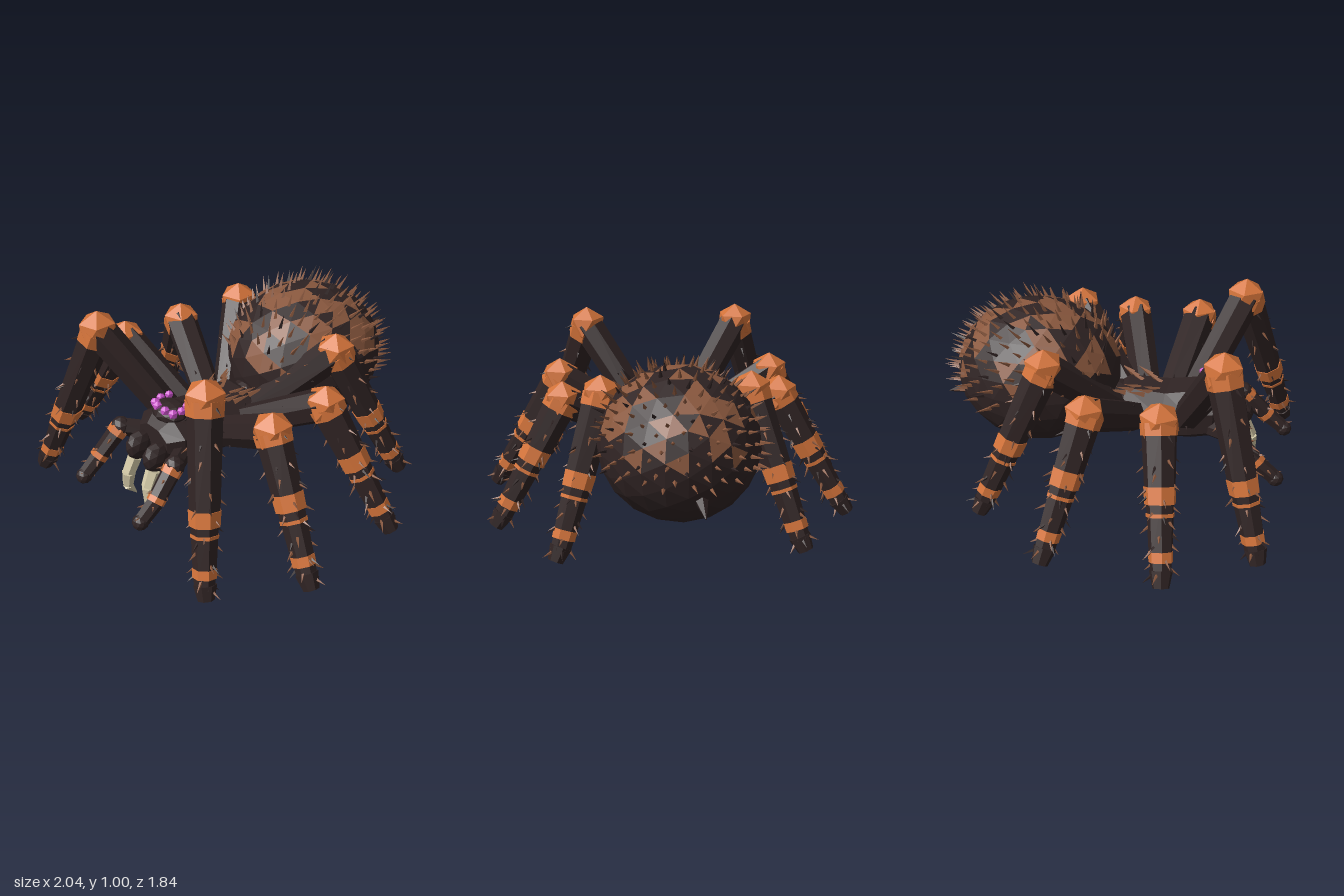
import * as THREE from 'three';
import { mergeGeometries } from 'three/addons/utils/BufferGeometryUtils.js';

const mat = (name, color) => {
  const m = new THREE.MeshStandardMaterial({ color, flatShading: true });
  m.name = name;
  return m;
};
const V = (x, y, z) => new THREE.Vector3(x, y, z);
const UP = V(0, 1, 0);

export function createModel() {
  const dark = mat('dark shell', 0x2f2323);
  const brown = mat('brown patch', 0x8a583e);
  const orange = mat('orange joint', 0xd3733a);
  const purple = mat('purple eye', 0xc852c8);
  const cream = mat('cream fang', 0xd2c8a6);
  const model = new THREE.Group();
  model.name = 'spider';

  let seed = 11;
  const rand = () => (seed = (seed * 16807) % 2147483647) / 2147483647;

  const add = (parent, name, geo, material) => {
    const m = new THREE.Mesh(geo, material);
    m.name = name;
    parent.add(m);
  };
  // Tapered prism running from a to b
  const rod = (a, b, ra, rb, sides = 7) => {
    const d = b.clone().sub(a);
    const g = new THREE.CylinderGeometry(rb, ra, d.length(), sides);
    g.applyQuaternion(new THREE.Quaternion().setFromUnitVectors(UP, d.normalize()));
    return g.translate((a.x + b.x) / 2, (a.y + b.y) / 2, (a.z + b.z) / 2);
  };
  const spine = (p, dir, len, r) => {
    const d = dir.clone().normalize();
    return rod(p.clone().addScaledVector(d, -0.012), p.clone().addScaledVector(d, len), r, 0.0005, 4);
  };
  // Faceted ball with one corner pointing up
  const ball = (p, r, detail = 0) => new THREE.IcosahedronGeometry(r, detail).rotateZ(0.5536).translate(p.x, p.y, p.z);

  // Abdomen: faceted ellipsoid, split into dark faces and brown patches
  const C = V(0, 0.545, -0.41), R = V(0.4, 0.375, 0.435);
  const ico = new THREE.IcosahedronGeometry(1, 3);
  ico.scale(R.x, R.y, R.z).translate(C.x, C.y, C.z);
  const src = ico.attributes.position;
  const faces = { dark: [], brown: [] };
  for (let i = 0; i < src.count; i += 3) {
    const cy = (src.getY(i) + src.getY(i + 1) + src.getY(i + 2)) / 3;
    const list = cy > 0.6 && rand() < 0.46 ? faces.brown : faces.dark;
    for (let k = i; k < i + 3; k++) list.push(src.getX(k), src.getY(k), src.getZ(k));
  }
  const soup = (list) => {
    const g = new THREE.BufferGeometry();
    g.setAttribute('position', new THREE.Float32BufferAttribute(list, 3));
    g.computeVertexNormals();
    return g;
  };
  add(model, 'abdomen', soup(faces.dark), dark);
  add(model, 'abdomenPatches', soup(faces.brown), brown);

  // Abdomen spines, spread by the golden angle and swept backward
  const hairs = [[], []];
  for (let i = 0; i < 230; i++) {
    const y = 0.985 - 1.2 * (i / 230), a = i * 2.39996, r = Math.sqrt(1 - y * y);
    const n = V(r * Math.cos(a), y, r * Math.sin(a));
    if (n.z > 0.9 || (y < 0.1 && n.z > -0.2)) continue;
    const p = n.clone().multiply(R).multiplyScalar(0.985).add(C);
    const sweep = V(0.3 * (rand() - 0.5), 0.2, -0.65);
    hairs[i % 5 ? 0 : 1].push(spine(p, n.add(sweep), 0.05 + rand() * 0.04, 0.0125));
  }
  add(model, 'abdomenBrownSpines', mergeGeometries(hairs[0]), brown);
  add(model, 'abdomenDarkSpines', mergeGeometries(hairs[1]), dark);

  // Spinneret
  add(model, 'spinneret', rod(V(-0.06, 0.42, -0.76), V(-0.07, 0.37, -0.91), 0.042, 0.003, 5), dark);

  // Cephalothorax: octagonal sections [z, half width, bottom, top]
  const secs = [[-0.02, 0.08, 0.34, 0.47], [0.07, 0.17, 0.29, 0.52], [0.28, 0.2, 0.27, 0.52],
    [0.42, 0.19, 0.275, 0.55], [0.54, 0.17, 0.3, 0.55], [0.61, 0.11, 0.36, 0.5]];
  const pos = [], idx = [], N = 8;
  for (const [z, w, b, t] of secs)
    for (let k = 0; k < N; k++) {
      const a = ((k + 0.5) / N) * Math.PI * 2;
      pos.push(Math.cos(a) * w * 1.08, (b + t) / 2 + (Math.sin(a) * (t - b)) / 1.85, z);
    }
  for (let i = 0; i < secs.length - 1; i++)
    for (let k = 0; k < N; k++) {
      const a = i * N + k, b = i * N + ((k + 1) % N);
      idx.push(a, b, b + N, a, b + N, a + N);
    }
  const last = (secs.length - 1) * N;
  for (let k = 1; k < N - 1; k++) idx.push(0, k + 1, k, last, last + k, last + k + 1);
  const thorax = new THREE.BufferGeometry();
  thorax.setAttribute('position', new THREE.Float32BufferAttribute(pos, 3));
  thorax.setIndex(idx);
  thorax.computeVertexNormals();
  add(model, 'cephalothorax', thorax, dark);
  add(model, 'waist', ball(V(0, 0.42, 0), 0.1, 1), dark);

  // Brown tufts on the back of the carapace
  const tufts = [];
  for (const s of [-1, 1])
    for (let i = 0; i < 6; i++)
      tufts.push(spine(V(s * (0.04 + (i % 3) * 0.035), 0.515, 0.23 - i * 0.033), V(s * 0.45, 0.35, -1), 0.08, 0.016));
  add(model, 'carapaceTufts', mergeGeometries(tufts), brown);

  // Eyes in a ring on a low mound
  const mound = new THREE.IcosahedronGeometry(1, 1).scale(0.105, 0.05, 0.085).translate(0, 0.55, 0.5);
  add(model, 'eyeMound', mound, dark);
  for (const s of [-1, 1])
    for (const [x, y, z, r] of [[0.07, 0.588, 0.45, 0.023], [0.083, 0.583, 0.492, 0.024],
      [0.072, 0.578, 0.535, 0.026], [0.03, 0.585, 0.552, 0.026]])
      add(model, 'eye', ball(V(s * x, y, z), r), purple);

  // Spines around a limb segment
  const limbSpines = (a, b, r, count, len) => {
    const axis = b.clone().sub(a).normalize();
    const u = V(0, 0, 1).cross(axis).normalize(), w = axis.clone().cross(u);
    return Array.from({ length: count }, (_, i) => {
      const t = (i + 0.5) / count, q = i * 2.4;
      const n = u.clone().multiplyScalar(Math.cos(q)).addScaledVector(w, Math.sin(q));
      const p = a.clone().lerp(b, t).addScaledVector(n, r * (1 - 0.35 * t));
      return spine(p, n.addScaledVector(axis, 0.8), len * (0.7 + 0.6 * rand()), 0.009);
    });
  };

  // Legs: hip, knee and foot for each of the four pairs
  const legs = [
    [[0.12, 0.42, 0.4], [0.42, 0.87, 0.61], [0.68, 0.03, 0.85]],
    [[0.14, 0.4, 0.28], [0.575, 0.655, 0.345], [0.945, 0.03, 0.44]],
    [[0.14, 0.4, 0.14], [0.56, 0.64, -0.015], [0.91, 0.03, -0.145]],
    [[0.1, 0.4, 0.05], [0.37, 0.75, -0.27], [0.6, 0.03, -0.56]],
  ];
  for (const s of [-1, 1])
    legs.forEach((pts) => {
      const leg = new THREE.Group();
      leg.name = s > 0 ? 'leftLeg' : 'rightLeg';
      model.add(leg);
      const [hip, knee, foot] = pts.map(([x, y, z]) => V(s * x, y, z));
      const atY = (y) => knee.clone().lerp(foot, (knee.y - y) / (knee.y - foot.y));
      const ankle = atY(0.36), wrist = atY(0.13);
      add(leg, 'femur', rod(hip, knee, 0.078, 0.088), dark);
      add(leg, 'knee', ball(knee, 0.105), orange);
      add(leg, 'kneeCuff', rod(knee, knee.clone().lerp(foot, 0.08), 0.094, 0.09), orange);
      add(leg, 'tibia', rod(knee, ankle, 0.087, 0.073), dark);
      add(leg, 'upperBand', rod(atY(0.405), atY(0.335), 0.079, 0.075), orange);
      add(leg, 'middleBand', rod(atY(0.3), atY(0.285), 0.069, 0.068), orange);
      add(leg, 'metatarsus', rod(ankle, wrist, 0.068, 0.056), dark);
      add(leg, 'lowerBand', rod(atY(0.15), atY(0.108), 0.06, 0.058), orange);
      add(leg, 'tarsus', rod(wrist, atY(0.06), 0.053, 0.05), dark);
      add(leg, 'foot', rod(atY(0.075), atY(0.01).add(V(s * 0.008, 0, 0)), 0.057, 0.04), dark);
      add(leg, 'darkSpines', mergeGeometries([
        ...limbSpines(knee, foot, 0.08, 16, 0.04), ...limbSpines(hip, knee, 0.08, 6, 0.02)]), dark);
      add(leg, 'brownSpines', mergeGeometries(limbSpines(knee.clone().lerp(foot, 0.2), foot, 0.077, 27, 0.042)), brown);
    });

  for (const s of [-1, 1]) {
    // Palps
    const palp = new THREE.Group();
    palp.name = s > 0 ? 'leftPalp' : 'rightPalp';
    model.add(palp);
    const p = [[0.12, 0.38, 0.52], [0.22, 0.41, 0.65], [0.24, 0.27, 0.79], [0.24, 0.2, 0.88]].map(([x, y, z]) => V(s * x, y, z));
    add(palp, 'palpBase', rod(p[0], p[1], 0.048, 0.048), dark);
    add(palp, 'palpKnee', ball(p[1], 0.053, 1), dark);
    add(palp, 'palpShaft', rod(p[1], p[2], 0.05, 0.044), dark);
    add(palp, 'palpUpperBand', rod(p[1].clone().lerp(p[2], 0.05), p[1].clone().lerp(p[2], 0.25), 0.053, 0.051), orange);
    add(palp, 'palpLowerBand', rod(p[2].clone().lerp(p[1], 0.15), p[2], 0.048, 0.047), orange);
    add(palp, 'palpTip', rod(p[2], p[3], 0.043, 0.038), dark);
    add(palp, 'palpFoot', ball(p[3], 0.042, 1), dark);
    add(palp, 'palpSpines', mergeGeometries(limbSpines(p[1], p[3], 0.048, 12, 0.025)), brown);

    // Jaws
    const jaw = new THREE.IcosahedronGeometry(1, 1).scale(0.054, 0.08, 0.08).translate(s * 0.07, 0.375, 0.645);
    add(model, 'jaw', jaw, dark);

    // Curved fangs in tapering segments
    const f = [[0.078, 0.31, 0.675, 0.04], [0.082, 0.23, 0.715, 0.036], [0.09, 0.15, 0.72, 0.028], [0.1, 0.065, 0.665, 0.003]];
    const segs = f.slice(1).map((b, i) => {
      const a = f[i];
      return rod(V(s * a[0], a[1], a[2]), V(s * b[0], b[1], b[2]), a[3], b[3], 6);
    });
    add(model, 'fang', mergeGeometries(segs), cream);
  }
  return model;
}
